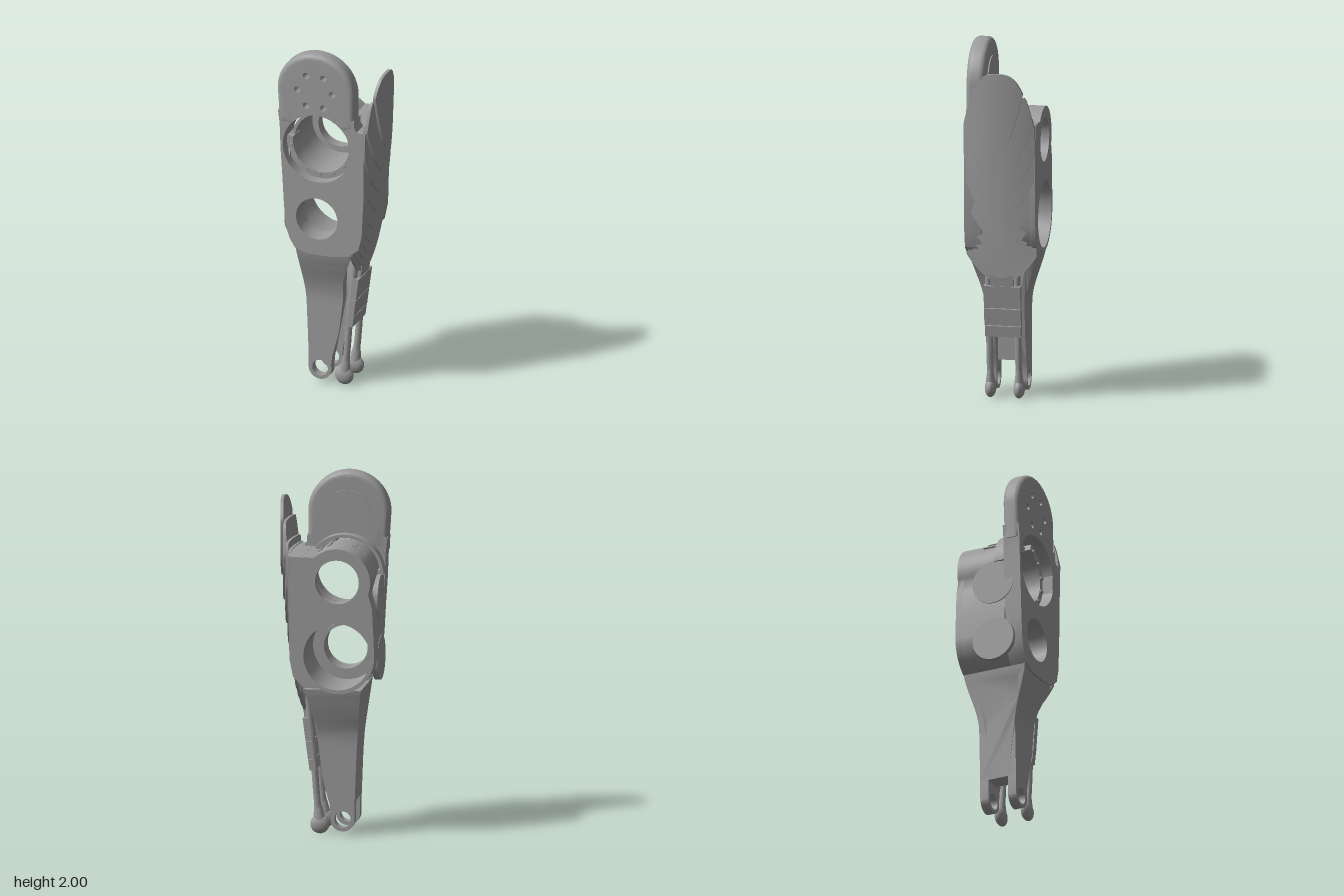
import * as THREE from 'three';
import { toCreasedNormals } from 'three/addons/utils/BufferGeometryUtils.js';

const grey = new THREE.MeshStandardMaterial({ color: 0x9b9b9b });
grey.name = 'metal grey';

const UP = [-0.055, 1.44];   // upper motor pocket centre
const LOW = [-0.055, 1.02];  // lower motor pocket centre
const DISC = [-0.065, 1.772];
const { degToRad: rad, lerp, smoothstep } = THREE.MathUtils;

// points on an arc, in degrees
function arc([cx, cy], r, a0, a1, n = 24) {
  return Array.from({ length: n + 1 }, (_, i) => {
    const a = rad(a0 + (a1 - a0) * i / n);
    return [cx + r * Math.cos(a), cy + r * Math.sin(a)];
  });
}

// polygon with round holes given as [centre, radius]
function polygon(points, holes = []) {
  const s = new THREE.Shape(points.map(p => new THREE.Vector2(...p)));
  for (const [c, r] of holes) {
    s.holes.push(new THREE.Path().absarc(c[0], c[1], r, 0, Math.PI * 2, true));
  }
  return s;
}

function slab(shape, z0, z1) {
  return new THREE.ExtrudeGeometry(shape, { depth: z1 - z0, bevelEnabled: false, curveSegments: 28 }).translate(0, 0, z0);
}

// move every vertex by a rule
function reshape(geo, rule) {
  const p = geo.attributes.position;
  const v = new THREE.Vector3();
  for (let i = 0; i < p.count; i++) {
    v.fromBufferAttribute(p, i);
    rule(v);
    p.setXYZ(i, v.x, v.y, v.z);
  }
  return geo;
}

// value at height y in a table of [y, value]
function at(table, y) {
  let i = 1;
  while (i < table.length - 1 && table[i][0] < y) i++;
  const [[y0, a], [y1, b]] = [table[i - 1], table[i]];
  return lerp(a, b, (y - y0) / (y1 - y0));
}

export function createModel() {
  const model = new THREE.Group();
  model.name = 'legLink';
  const add = (name, geo, parent = model) => {
    const m = new THREE.Mesh(toCreasedNormals(geo, 0.6), grey);
    m.name = name;
    parent.add(m);
  };

  // hip disc with rounded rim and six screw holes
  const bevel = 0.028, screwRadius = 0.018;
  const screws = [0, 60, 120, 180, 240, 300].map(a => arc([-0.067, 1.78], 0.103, a, a, 1)[0]);
  const discShape = polygon([
    ...arc(DISC, 0.228, 0, 180, 40), [-0.283, 1.62], [-0.283, 1.56],
    ...arc(UP, 0.173, 140, 40), [0.163, 1.58], [0.163, 1.62],
  ], screws.map(c => [c, screwRadius]));
  const disc = new THREE.ExtrudeGeometry(discShape, {
    depth: 0.1 - 2 * bevel, bevelThickness: bevel, bevelSize: bevel, bevelOffset: -bevel, bevelSegments: 5, curveSegments: 16,
  }).translate(0, 0, 0.1 + bevel);
  const snap = (v, c, r, reach) => {
    const dx = v.x - c[0], dy = v.y - c[1], d = Math.hypot(dx, dy);
    if (d > reach) return;
    v.x = c[0] + dx * r / d;
    v.y = c[1] + dy * r / d;
  };
  add('hipDisc', reshape(disc, v => {   // straight walls in the holes and the lower arc
    snap(v, UP, 0.203, 0.2035);
    for (const c of screws) snap(v, c, screwRadius, 0.0475);
  }));
  add('hipDiscCap', slab(polygon(arc(DISC, 0.125, 0, 360, 40)), 0.094, 0.13));

  // main body: front plate, motor housing, back plate
  const front = [
    [0.164, 1.64], ...arc(UP, 0.215, 60, 120), [-0.284, 1.64], [-0.274, 1.56], [-0.268, 1.4], [-0.258, 1.25], [-0.25, 1.1],
    [-0.238, 0.95], [-0.215, 0.88], [-0.185, 0.83], [-0.12, 0.805], [0.02, 0.805], [0.13, 0.82],
    [0.19, 0.87], [0.21, 0.95], [0.222, 1.2], [0.222, 1.45], [0.21, 1.57], [0.18, 1.575], [0.166, 1.6],
  ];
  const back = [
    ...arc(UP, 0.185, 45, 200), [-0.25, 1.3], [-0.258, 1.15],
    ...arc(LOW, 0.208, 180, 300), [0.13, 0.84],
    [0.19, 0.9], [0.21, 1.0], [0.215, 1.2], [0.215, 1.45], [0.2, 1.57], [0.12, 1.575],
  ];
  add('bodyFrontPlate', slab(polygon(front, [[UP, 0.2], [LOW, 0.122]]), 0.1, 0.198));
  add('motorHousing', slab(polygon(back, [[UP, 0.168], [LOW, 0.187]]), -0.165, 0.1));
  add('bodyBackPlate', slab(polygon(back, [[UP, 0.122], [LOW, 0.187]]), -0.2, -0.165));

  // pocket flanges, the upper one leaving an open arc slot
  add('upperFlange', slab(polygon([...arc(UP, 0.203, 172, 435, 50), ...arc(UP, 0.165, 435, 172, 50)]), 0.04, 0.135));
  add('upperOuterFlange', slab(polygon([...arc(UP, 0.2, 40, 180, 40), ...arc(UP, 0.217, 180, 40, 40)]), 0.04, 0.101));
  add('upperInnerRing', slab(polygon(arc(UP, 0.14, 0, 360, 48), [[UP, 0.122]]), -0.167, -0.14));
  add('lowerInnerRing', slab(polygon(arc(LOW, 0.14, 0, 360, 48), [[LOW, 0.122]]), 0.075, 0.102));
  for (let i = 0; i < 10; i++) {
    const [x, y] = arc(UP, 0.178, 190 + i * 26, 190 + i * 26, 1)[0];
    add('flangeScrew', new THREE.CylinderGeometry(0.012, 0.012, 0.012, 10).rotateX(Math.PI / 2).translate(x, y, 0.139));
  }
  // ribs on the housing
  for (const a of [50, 68, 112, 135]) {
    const [x, y] = arc(UP, 0.184, a, a, 1)[0];
    add('housingRib', new THREE.BoxGeometry(0.02, 0.016, 0.1).rotateZ(rad(a - 90)).translate(x, y, -0.01));
  }
  // flat round covers on the outer side
  for (const y of [1.32, 0.98]) {
    add('sideCover', new THREE.CylinderGeometry(0.125, 0.125, 0.03, 36).rotateZ(Math.PI / 2).translate(-0.248, y, 0.03));
  }

  // terraced side shell, bowed in z: [lowest y, curvature, top y] from the inside out
  const shell = new THREE.Group();
  shell.name = 'sideShell';
  model.add(shell);
  const terraces = [
    [0.67, 4, 1.575], [0.7, 4.3, 1.575], [0.74, 4.6, 1.575], [0.79, 5, 1.575], [0.85, 5.3, 1.575],
    [0.93, 5.6, 1.575], [1.04, 6, 1.58], [1.16, 6.3, 1.62], [1.29, 7.5, 1.74], [1.43, 17, 1.9],
  ];
  terraces.forEach(([low, k, cap], i) => {
    const bottom = z => low + k * z * z;
    const top = z => Math.min(cap, 1.56 + 0.315 * (1 - Math.abs(z / 0.2) ** 3));
    let width = 0.197;
    while (top(width) - bottom(width) < 0.005) width -= 0.002;
    const x0 = 0.14 + i * 0.0147;
    const plate = new THREE.BoxGeometry(1, 1, 1, 1, 1, 40);
    add('shellTerrace', reshape(plate, v => {
      const z = v.z * 2 * width;
      const x = lerp(x0 - 0.002, x0 + 0.0147, v.x + 0.5) - 0.035 * (z / 0.2) ** 2 * i / 9;
      v.set(x, lerp(bottom(z), top(z), v.y + 0.5), z);
    }), shell);
  });

  // lower leg: two cheeks and a web, flaring in depth towards the body
  const halfDepth = y => 0.11 + 0.08 * smoothstep(y, 0.5, 0.87);
  const leftEdge = [[0.19, -0.138], [0.35, -0.144], [0.5, -0.15], [0.62, -0.162], [0.72, -0.172], [0.83, -0.185]];
  const rightEdge = [[0.19, 0.008], [0.32, 0.042], [0.5, 0.064], [0.62, 0.074], [0.72, 0.09], [0.78, 0.11], [0.83, 0.15]];
  const levels = Array.from({ length: 19 }, (_, i) => lerp(0.19, 0.83, i / 18));
  // side profile between two depths, stretched across from the left to the right edge
  const legPiece = (depthA, depthB, right) => reshape(slab(polygon([
    ...levels.map(y => [-depthA(y), y]), ...levels.map(y => [-depthB(y), y]).reverse(),
  ]), 0, 1), v => v.set(lerp(at(leftEdge, v.y), right(v.y), v.z), v.y, -v.x));

  const eye = [-0.07, 0.088];
  for (const side of [1, -1]) {
    const label = side > 0 ? 'front' : 'back';
    add(label + 'Cheek', legPiece(y => side * halfDepth(y), y => side * (halfDepth(y) - 0.05), y => at(rightEdge, y)));
    const eyeShape = polygon([[-0.138, 0.2], ...arc(eye, 0.067, 180, 375, 30), [0.002, 0.17], [0.01, 0.2]], [[eye, 0.046]]);
    add(label + 'Eye', slab(eyeShape, side > 0 ? 0.06 : -0.11, side > 0 ? 0.11 : -0.06));
  }
  add('legWeb', legPiece(y => halfDepth(y) - 0.004, y => 0.004 - halfDepth(y), () => -0.035));

  // paired push rods ending in rounded eyes
  for (const z of [0.08, -0.08]) {
    const path = new THREE.CatmullRomCurve3([
      [0.062, 0.06], [0.078, 0.2], [0.095, 0.42], [0.115, 0.62], [0.135, 0.82],
    ].map(([x, y]) => new THREE.Vector3(x, y, z)));
    add('pushRod', new THREE.TubeGeometry(path, 24, 0.019, 12));
    add('rodEnd', new THREE.SphereGeometry(0.053, 28, 18).scale(1, 1, 0.58).translate(0.062, 0.053, z));
    add('rodNeck', new THREE.CylinderGeometry(0.019, 0.034, 0.09, 14).rotateZ(-0.11).scale(1, 1, 0.8).translate(0.069, 0.125, z));
  }

  // segmented guard plate across the rods
  const guard = new THREE.Group();
  guard.name = 'guardPlate';
  guard.position.set(0.117, 0.5, 0);
  guard.rotation.z = -0.13;
  model.add(guard);
  for (const [y0, y1, width] of [[-0.145, -0.083, 0.2], [-0.079, 0.018, 0.205], [0.022, 0.15, 0.205]]) {
    add('guardSegment', new THREE.BoxGeometry(0.036, y1 - y0, width).translate(0, (y0 + y1) / 2, 0), guard);
  }
  add('guardHinge', new THREE.BoxGeometry(0.03, 0.09, 0.13).translate(0, 0.18, 0), guard);

  return model;
}
